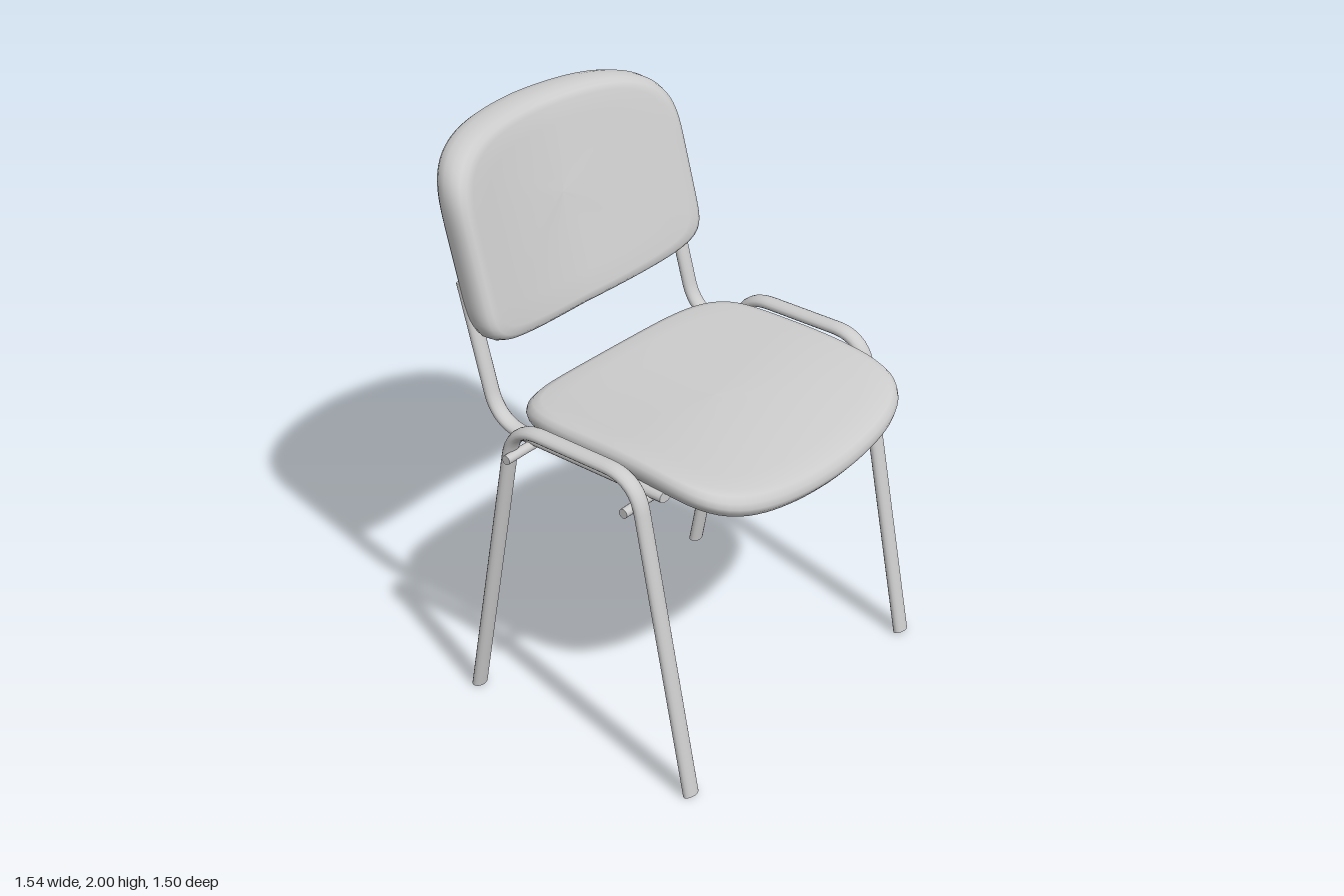
import * as THREE from 'three';
import { mergeGeometries } from 'three/addons/utils/BufferGeometryUtils.js';

const material = new THREE.MeshStandardMaterial({ color: 0xcccccc });

function addMesh(parent, name, geometry) {
  const mesh = new THREE.Mesh(geometry, material);
  mesh.name = name;
  parent.add(mesh);
  return mesh;
}

// Closed padded shape: rings of [scale, height] over an outline, listed from the underside to the face.
// outline(c, s) maps a unit rounded square to the plane, place(x, y, h) puts the point in space.
function cushion(power, outline, rings, place, steps = 96) {
  const positions = [], index = [];
  for (const [k, h] of rings) {
    for (let j = 0; j < steps; j++) {
      const a = (j / steps) * Math.PI * 2, c = Math.cos(a), s = Math.sin(a);
      const n = power(s);
      const r = 1 / Math.pow(Math.abs(c) ** n + Math.abs(s) ** n, 1 / n);
      const [x, y] = outline(c * r, s * r, k);
      positions.push(...place(x, y, h));
    }
  }
  for (let i = 0; i < rings.length - 1; i++) {
    for (let j = 0; j < steps; j++) {
      const a = i * steps + j, b = i * steps + (j + 1) % steps;
      index.push(a, b, b + steps, a, b + steps, a + steps);
    }
  }
  const geometry = new THREE.BufferGeometry();
  geometry.setAttribute('position', new THREE.Float32BufferAttribute(positions, 3));
  geometry.setIndex(index);
  geometry.computeVertexNormals();
  return geometry;
}

// Polyline with rounded corners
function roundedPath(points, cut) {
  const p = points.map((q) => new THREE.Vector3(...q));
  const path = new THREE.CurvePath();
  let from = p[0];
  for (let i = 1; i < p.length - 1; i++) {
    const a = p[i].clone().add(p[i - 1].clone().sub(p[i]).setLength(cut));
    const b = p[i].clone().add(p[i + 1].clone().sub(p[i]).setLength(cut));
    path.add(new THREE.LineCurve3(from, a));
    path.add(new THREE.QuadraticBezierCurve3(a, p[i], b));
    from = b;
  }
  path.add(new THREE.LineCurve3(from, p[p.length - 1]));
  return path;
}

// Tube with closed ends
function cappedTube(path, radius, segments) {
  const parts = [new THREE.TubeGeometry(path, segments, radius, 16)];
  for (const t of [0, 1]) {
    const outward = path.getTangentAt(t).multiplyScalar(t ? 1 : -1);
    const turn = new THREE.Quaternion().setFromUnitVectors(new THREE.Vector3(0, 0, 1), outward);
    const end = path.getPointAt(t);
    parts.push(new THREE.CircleGeometry(radius, 16).applyQuaternion(turn).translate(end.x, end.y, end.z));
  }
  return mergeGeometries(parts);
}

const smooth = THREE.MathUtils.smoothstep;

function createSeat(chair) {
  const rings = [[0, -0.11], [0.3, -0.11], [0.6, -0.11], [0.8, -0.107], [0.91, -0.1], [0.965, -0.085],
    [0.992, -0.065], [1, -0.048], [0.992, -0.028], [0.965, -0.01], [0.92, -0.002], [0.8, 0],
    [0.6, 0], [0.4, 0], [0.2, 0], [0, 0]];
  const outline = (c, s, k) => {
    const bow = 1 - c * c;
    const y = s < 0 ? s * (0.45 + 0.06 * bow) : s * (0.45 + 0.07 * bow);
    return [0.55 * c * k, y * k - 0.15];
  };
  // Saddle dip across the width, nose falling toward the front
  const place = (x, y, h) => {
    const z = -y;
    const fall = Math.max(0, z - 0.1) / 0.55;
    return [x, 1.125 + 0.055 * (x / 0.55) ** 2 - 0.065 * fall * fall + h, z];
  };
  addMesh(chair, 'seat', cushion(() => 6, outline, rings, place, 128));
}

function createBackrest(chair) {
  const back = new THREE.Group();
  back.name = 'backrest';
  chair.add(back);
  // Wrapped around the sitter and leaning back
  const place = (x, y, h) =>
    [x, y, -0.42 + 0.12 * Math.abs(x / 0.55) ** 1.7 - 0.27 * (y - 1.3) + h];

  // Padded shell with a rolled rim behind that fades out along the lower edge
  const rings = [[0, -0.085], [0.4, -0.085], [0.7, -0.085], [0.81, -0.087], [0.835, -0.1], [0.86, -0.125],
    [0.9, -0.14], [0.945, -0.138], [0.98, -0.12], [1, -0.085], [0.995, -0.05], [0.975, -0.022],
    [0.94, -0.006], [0.88, 0], [0.7, 0], [0.5, 0], [0.25, 0], [0, 0]];
  const outline = (c, s, k) => {
    const y = s > 0 ? 0.32 * s : s * (0.32 + 0.09 * (1 - c * c));
    return [0.56 * c * k, 1.68 + y * k];
  };
  const shellPlace = (x, y, h) => {
    if (h < -0.09) {
      const keep = Math.max(smooth(y, 1.36, 1.5), smooth(Math.abs(x), 0.38, 0.46));
      h = -0.09 + (h + 0.09) * keep;
    }
    return place(x, y, h);
  };
  addMesh(back, 'backPad', cushion((s) => (s > 0 ? 4 : 10), outline, rings, shellPlace, 160));

  // Raised plate and its three ribs on the rear
  const pad = (name, cx, cy, hw, hh, power, top, base) => addMesh(back, name, cushion(() => power,
    (c, s, k) => [cx + hw * c * k, cy + hh * s * k],
    [[0, top], [0.5, top], [0.85, top], [0.94, top + 0.004], [1, top + 0.015], [1, base]], place, 48));
  pad('rearPlate', 0, 1.5, 0.17, 0.19, 8, -0.107, -0.06);
  for (const x of [-0.09, 0, 0.09]) pad('rearRib', x, 1.49, 0.024, 0.145, 3, -0.124, -0.09);
}

function createFrame(chair) {
  // Front leg, top bar and rear leg bent from one oval tube
  const leg = roundedPath([[0, 0, 0.55], [0, 1.15, 0.325], [0, 1.15, -0.205], [0, 0, -0.43]], 0.12);
  // Seat rail running back and up into the backrest
  const rail = roundedPath([[0, 1.06, 0.37], [0, 1.06, -0.36], [0, 1.55, -0.495]], 0.12);
  for (const side of [-1, 1]) {
    const label = side > 0 ? 'left' : 'right';
    addMesh(chair, label + 'LegFrame',
      cappedTube(leg, 0.021, 120).scale(1.55, 1, 1).translate(side * 0.611, 0, 0));
    addMesh(chair, label + 'BackSupport',
      cappedTube(rail, 0.021, 80).scale(1.45, 1, 1).translate(side * 0.52, 0, 0));
  }

  // Sagging crossbars under the seat, ends poking through the legs
  for (const z of [0.31, -0.2]) {
    const bar = new THREE.CatmullRomCurve3([[-0.66, 1.038], [-0.5, 1.038], [-0.28, 1.003], [0, 0.992],
      [0.28, 1.003], [0.5, 1.038], [0.66, 1.038]].map(([x, y]) => new THREE.Vector3(x, y, z)));
    addMesh(chair, z > 0 ? 'frontCrossbar' : 'rearCrossbar', cappedTube(bar, 0.017, 60));
  }
}

export function createModel() {
  const model = new THREE.Group();
  model.name = 'chair';
  // The chair stands turned slightly to its left
  const chair = new THREE.Group();
  chair.name = 'turnedChair';
  chair.rotation.y = 0.332;
  chair.position.set(-0.022, 0, 0.007);
  model.add(chair);
  createSeat(chair);
  createBackrest(chair);
  createFrame(chair);
  return model;
}
